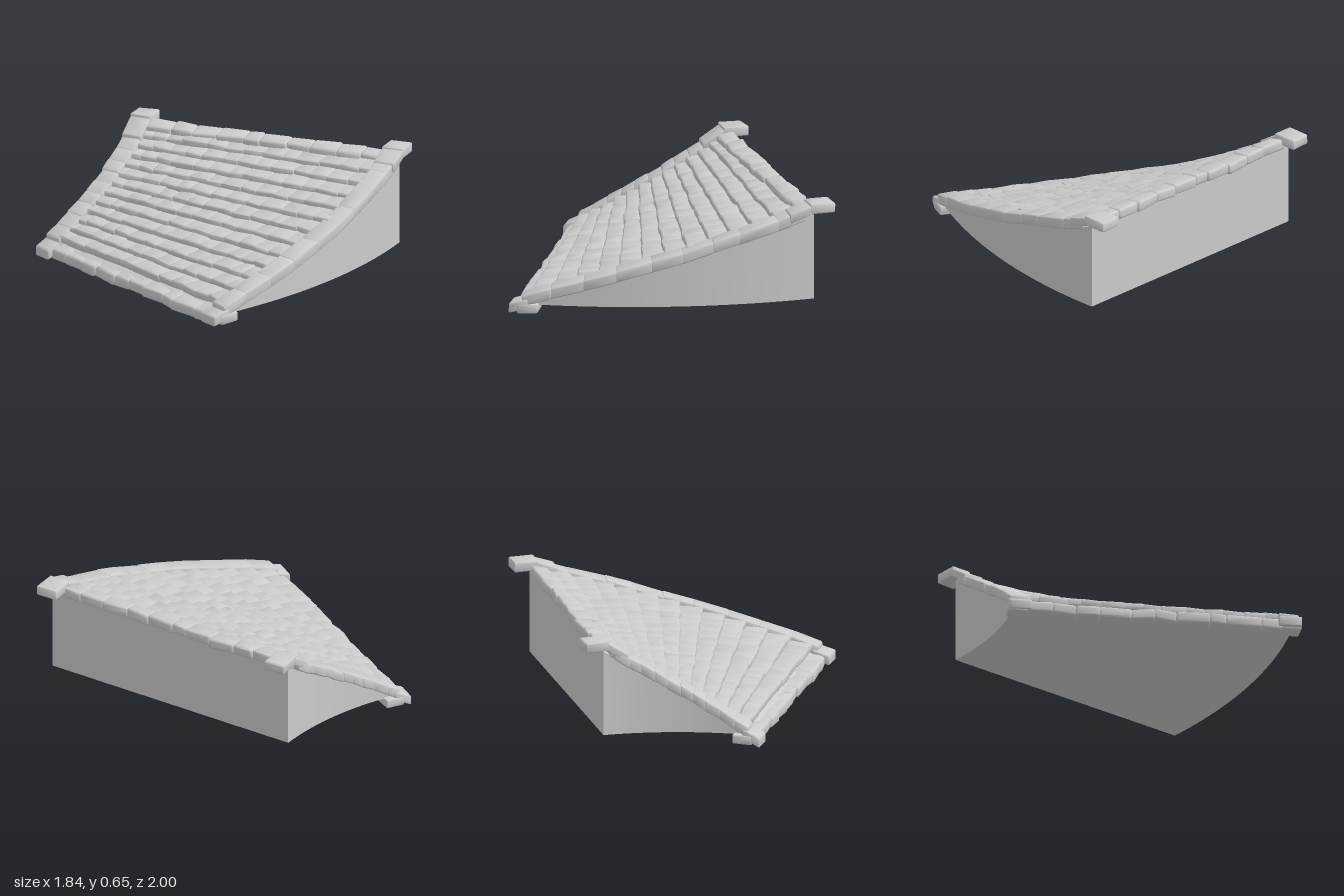
import * as THREE from 'three';
import { mergeGeometries, toCreasedNormals } from 'three/addons/utils/BufferGeometryUtils.js';
import { RoundedBoxGeometry } from 'three/addons/geometries/RoundedBoxGeometry.js';

// Plan layout: a 30 degree ring sector, climbing steadily from its left edge to its right edge.
const CX = -0.85, CZ = -2.34, SWEEP = Math.PI / 6;
const R_IN = 1.65, R_OUT = 3.3, BASE = 0.06, RISE = 0.51;
const roofY = (a) => BASE + RISE * a / SWEEP;

let seed = 7;
const rand = () => (seed = (seed * 16807) % 2147483647) / 2147483647;
const jitter = (s) => (rand() - 0.5) * 2 * s;

// Moves every vertex by a rule giving [angle, radius, height]
function bend(geo, rule, rough = 0) {
  const p = geo.attributes.position;
  for (let i = 0; i < p.count; i++) {
    const [a, r, y] = rule(p.getX(i), p.getY(i), p.getZ(i));
    const x = CX + r * Math.sin(a), z = CZ + r * Math.cos(a);
    p.setXYZ(i,
      x + rough * Math.sin(31 * z + 17 * y),
      y + rough * Math.sin(37 * x + 23 * z),
      z + rough * Math.sin(29 * x + 19 * y));
  }
  geo.deleteAttribute('uv');
  return toCreasedNormals(geo, 0.7);
}

// Rounded stone: w along the slope, h up, d along the radius
function stone(w, h, d, rule, rough, round = 0.17) {
  const radius = Math.min(w, h, d) * round;
  return bend(new RoundedBoxGeometry(w, h, d, 2, radius), rule, rough);
}

// Uneven division of a span into n pieces
function cuts(from, to, n, uneven) {
  const step = (to - from) / n;
  return Array.from({ length: n + 1 }, (_, i) =>
    from + i * step + (i > 0 && i < n ? jitter(step * uneven) : 0));
}

export function createModel() {
  const group = new THREE.Group();
  const material = new THREE.MeshStandardMaterial({ color: 0xcccccc });
  const add = (name, geos) => {
    const mesh = new THREE.Mesh(mergeGeometries(geos), material);
    mesh.name = name;
    group.add(mesh);
  };

  // Solid wedge under the roof
  add('wedgeBody', [bend(new THREE.BoxGeometry(1, 1, 1, 32, 1, 1), (x, y, z) => {
    const t = x + 0.5;
    return [t * SWEEP, R_IN + (z + 0.5) * (R_OUT - R_IN), BASE + (y + 0.5) * RISE * t];
  })]);

  // Overlapping courses of roof tiles, each thick at its lower edge
  const courses = 12, first = 0.016, last = SWEEP - 0.025;
  const courseStep = (last - first) / courses;
  for (let c = 0; c < courses; c++) {
    const tiles = [];
    const edges = cuts(1.7 - (c % 2) * 0.05, 3.24, 13, 0.2);
    for (let i = 0; i < 13; i++) {
      const d = edges[i + 1] - edges[i], rMid = (edges[i] + edges[i + 1]) / 2;
      const lift = jitter(0.003), skew = jitter(0.025), slide = jitter(0.0015);
      const mid = first + (c + 0.5) * courseStep + slide;
      const w = courseStep * rMid * 1.15;
      tiles.push(stone(w, 0.045, d + 0.014, (x, y, z) => {
        const a = mid + x / rMid;
        return [a, rMid + z, roofY(a) + 0.018 + lift + y - 0.032 * x / w + skew * z];
      }, 0.003, 0.24));
    }
    add('tileCourse' + (c + 1), tiles);
  }

  // Sloping borders along the inner and outer arcs
  for (const [name, r, width, n] of [['innerBorder', 1.675, 0.125, 10], ['outerBorder', 3.262, 0.12, 9]]) {
    const edges = cuts(0.01 / r, SWEEP - 0.06 / r, n, 0.15);
    const stones = [];
    for (let i = 0; i < n; i++) {
      const mid = (edges[i] + edges[i + 1]) / 2, shift = jitter(0.003), lift = jitter(0.003);
      const tilt = jitter(0.03);
      stones.push(stone((edges[i + 1] - edges[i]) * r + 0.01, 0.068, width, (x, y, z) => {
        const a = mid + x / r;
        return [a, r + z + shift, roofY(a) + 0.021 + lift + y + tilt * x];
      }, 0.002));
    }
    add(name, stones);
  }

  // Straight borders along the low eave and the high ridge, the ridge overhanging the wall
  const sides = [['eaveBorder', 0, 0.007, 0.037, 0.12, 0.1], ['ridgeBorder', SWEEP, -0.028, 0.577, 0.15, 0.11]];
  for (const [name, angle, offset, height, slope, width] of sides) {
    const edges = cuts(1.72, 3.22, 10, 0.22);
    const stones = [];
    for (let i = 0; i < 10; i++) {
      const r = (edges[i] + edges[i + 1]) / 2, shift = offset + jitter(0.006);
      const lift = jitter(0.004), turn = jitter(0.06);
      stones.push(stone(width + jitter(0.008), 0.066, edges[i + 1] - edges[i] + 0.006, (x, y, z) =>
        [angle + (x + shift + turn * z) / (r + z), r + z, height + lift + y + slope * x], 0.004, 0.25));
    }
    add(name, stones);
  }

  // Corner caps: low blocks at the eave, a ramp and level block at the ridge
  const corners = [['inner', 1.675, 0.13, 0.6], ['outer', 3.265, 0.135, 0.36]];
  for (const [name, r, width, slope] of corners) {
    const cap = (angle, from, to, h, height, tilt, grow) =>
      stone(to - from, h, width + grow, (x, y, z) =>
        [angle + (x + (from + to) / 2) / r, r + z, height + y + tilt * x], 0.001);
    add(name + 'EaveCap', [
      cap(0, -0.07, 0.04, 0.06, 0.052, slope * 0.8, 0),
      cap(0, -0.02, 0.1, 0.055, 0.039, 0.05, 0.008),
    ]);
    add(name + 'RidgeCap', [
      cap(SWEEP, -0.15, -0.005, 0.055, 0.612 - slope * 0.07, slope, -0.003),
      cap(SWEEP, -0.03, 0.12, 0.06, 0.612, -0.03, 0),
    ]);
  }
  return group;
}
